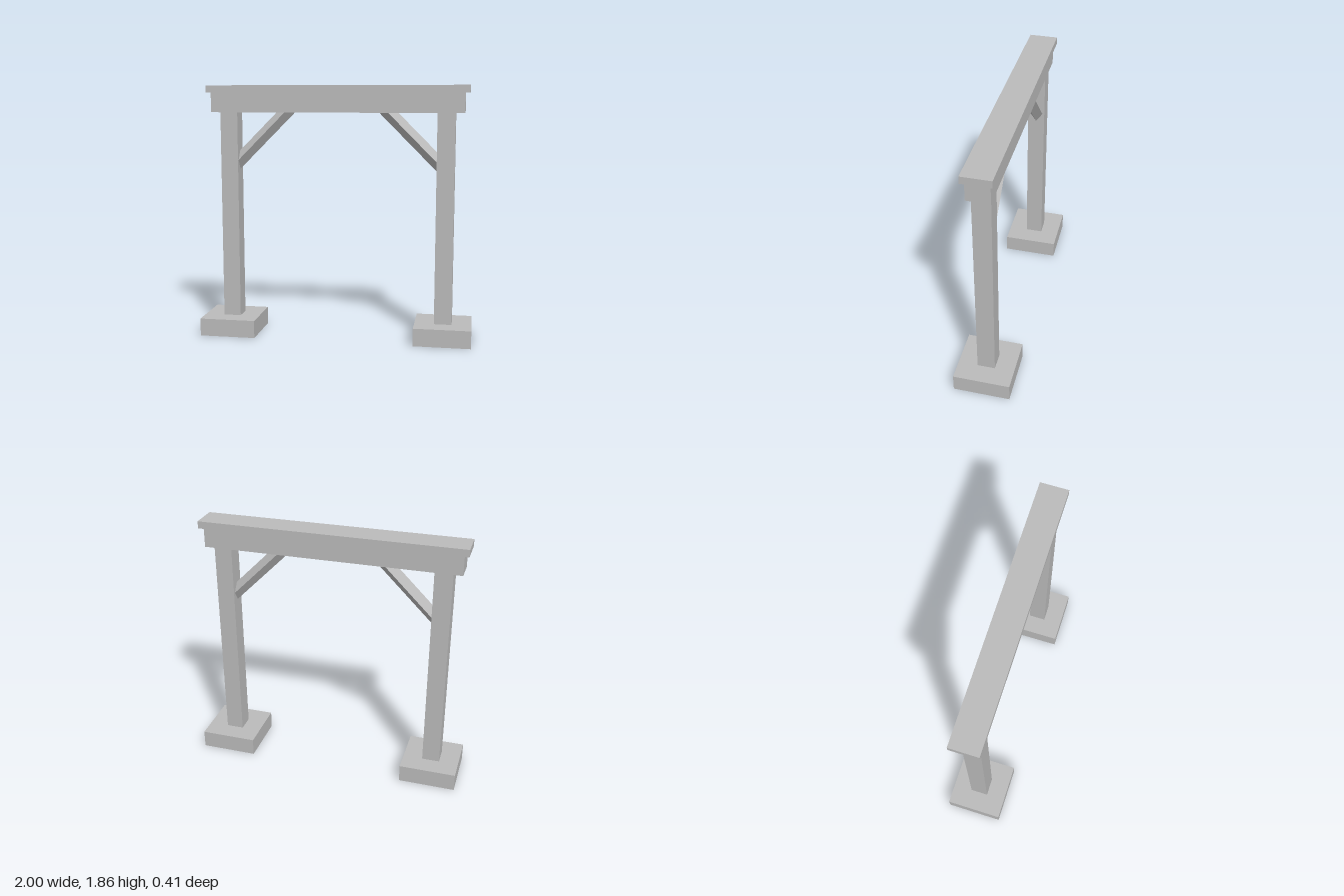
import * as THREE from 'three';

export function createModel() {
  const model = new THREE.Group();
  model.name = 'gateway';
  const grey = new THREE.MeshStandardMaterial({ color: 0xbbbbbb });
  grey.name = 'plain grey';
  grey.flatShading = true;

  // Adds a box standing on height y0
  const addBox = (name, x, y0, width, height, depth) => {
    const mesh = new THREE.Mesh(new THREE.BoxGeometry(width, height, depth), grey);
    mesh.name = name;
    mesh.position.set(x, y0 + height / 2, 0);
    model.add(mesh);
  };

  // Lintel and the thinner, wider cap on top
  addBox('beam', 0, 1.66, 1.845, 0.143, 0.162);
  addBox('cap', 0, 1.803, 1.91, 0.052, 0.205);

  for (const [side, s] of [['left', 1], ['right', -1]]) {
    addBox(side + 'Footing', s * 0.793, 0, 0.414, 0.13, 0.41);
    addBox(side + 'Post', s * 0.793, 0.13, 0.128, 1.53, 0.128);

    // Square brace turned on its edge, its ends buried in post and beam
    const brace = new THREE.Mesh(new THREE.CylinderGeometry(0.049, 0.049, 0.615, 4), grey);
    brace.name = side + 'Brace';
    brace.position.set(s * 0.554, 1.484, 0);
    brace.rotation.z = s * Math.PI / 4;
    model.add(brace);
  }
  return model;
}
